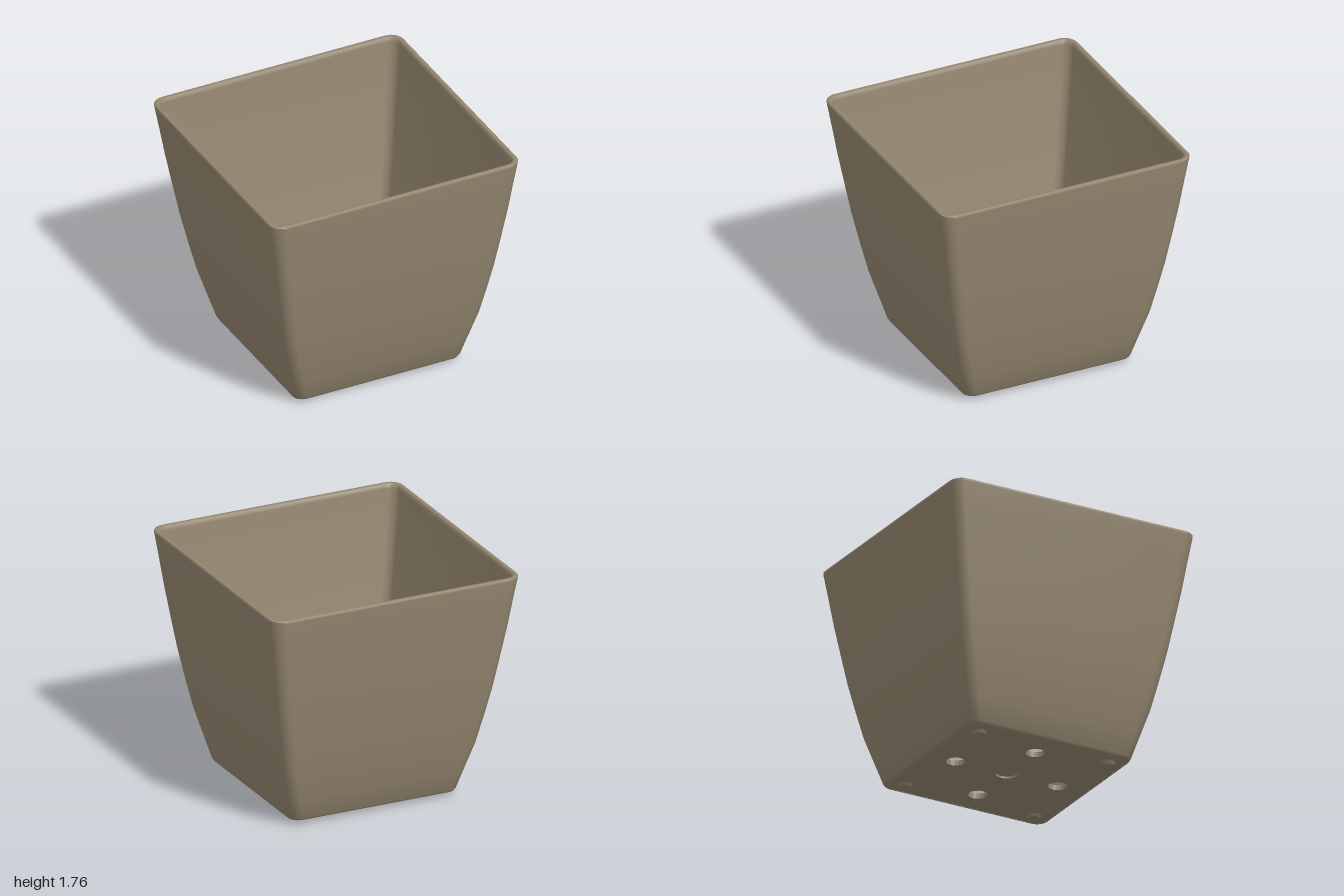
import * as THREE from 'three';
import { toCreasedNormals } from 'three/addons/utils/BufferGeometryUtils.js';

const clay = new THREE.MeshStandardMaterial({ color: 0x958770 });
clay.name = 'taupe';

// Slight lean of the pot: the base sits a little to +x, and the rim rises that way
const leanX = y => 0.018 * (1 - y / 1.76);
const liftY = x => 0.008 * x;

// Points of a rounded square in (x, z), running from +x towards +z
function roundedSquare(half, radius, steps = 7) {
  const points = [];
  for (let c = 0; c < 4; c++) {
    const mid = Math.PI / 4 + c * Math.PI / 2;
    const cx = Math.sign(Math.cos(mid)) * (half - radius);
    const cz = Math.sign(Math.sin(mid)) * (half - radius);
    for (let i = 0; i <= steps; i++) {
      const a = (c + i / steps) * Math.PI / 2;
      points.push([cx + radius * Math.cos(a), cz + radius * Math.sin(a)]);
    }
  }
  return points;
}

// Walls: skin of rounded squares going up the outside, over the rim and down the inside
function wallGeometry() {
  // [half width, height, corner radius]
  const profile = [
    [0.64, 0.028, 0.07], [0.662, 0.034, 0.08], [0.672, 0.05, 0.085],
    [0.72, 0.22, 0.09], [0.775, 0.42, 0.09], [0.82, 0.64, 0.09],
    [0.862, 0.86, 0.09], [0.90, 1.1, 0.09], [0.937, 1.34, 0.09],
    [0.968, 1.56, 0.095], [0.994, 1.735, 0.10], [0.995, 1.75, 0.10],
    [0.988, 1.757, 0.095], [0.968, 1.757, 0.085], [0.96, 1.75, 0.08],
    [0.957, 1.72, 0.08], [0.938, 1.56, 0.08], [0.907, 1.34, 0.075],
    [0.87, 1.1, 0.075], [0.832, 0.86, 0.075], [0.79, 0.64, 0.075],
    [0.745, 0.42, 0.075], [0.69, 0.22, 0.07], [0.648, 0.10, 0.06],
    [0.635, 0.078, 0.06], [0.61, 0.07, 0.05],
  ];
  const positions = [], index = [];
  let count = 0;
  for (const [half, y, radius] of profile) {
    const ring = roundedSquare(half, radius);
    count = ring.length;
    for (const [x, z] of ring) positions.push(x + leanX(y), y + liftY(x), z);
  }
  for (let r = 0; r < profile.length - 1; r++) {
    for (let i = 0; i < count; i++) {
      const j = (i + 1) % count;
      const a = r * count + i, b = r * count + j;
      index.push(a, a + count, b, b, a + count, b + count);
    }
  }
  const geometry = new THREE.BufferGeometry();
  geometry.setAttribute('position', new THREE.Float32BufferAttribute(positions, 3));
  geometry.setIndex(index);
  return toCreasedNormals(geometry, 0.9);
}

// Floor: rounded square plate with four drain holes and a round central opening
function floorGeometry() {
  const shape = new THREE.Shape(roundedSquare(0.642, 0.07).map(p => new THREE.Vector2(...p)));
  const holes = [[0.415, 0, 0.07], [-0.415, 0, 0.07], [0, 0.42, 0.07], [0, -0.42, 0.07], [0, 0, 0.08]];
  for (const [x, y, r] of holes) {
    const hole = new THREE.Path();
    hole.absarc(x, y, r, 0, Math.PI * 2, true);
    shape.holes.push(hole);
  }
  const geometry = new THREE.ExtrudeGeometry(shape, { depth: 0.04, bevelEnabled: false, curveSegments: 8 });
  geometry.rotateX(-Math.PI / 2);
  return geometry;
}

export function createModel() {
  const planter = new THREE.Group();
  planter.name = 'planter';
  const add = (name, geometry, x = 0, y = 0, z = 0) => {
    const mesh = new THREE.Mesh(geometry, clay);
    mesh.name = name;
    mesh.position.set(x, y, z);
    planter.add(mesh);
    return mesh;
  };

  add('walls', wallGeometry());
  const floor = add('floor', floorGeometry(), 0.018, 0.03, 0);
  floor.rotation.z = 0.008;

  // Shallow dimple closing the central opening
  add('centreDimple', new THREE.CylinderGeometry(0.083, 0.083, 0.015, 12), 0.02, 0.053, 0);

  // Low feet under the corners
  for (const x of [-1, 1]) {
    for (const z of [-1, 1]) {
      const height = x < 0 ? 0.03 : 0.025;
      add('foot', new THREE.CylinderGeometry(0.06, 0.045, height, 12),
        0.018 + x * 0.53, x < 0 ? 0.015 : 0.027, z * 0.53);
    }
  }
  return planter;
}
